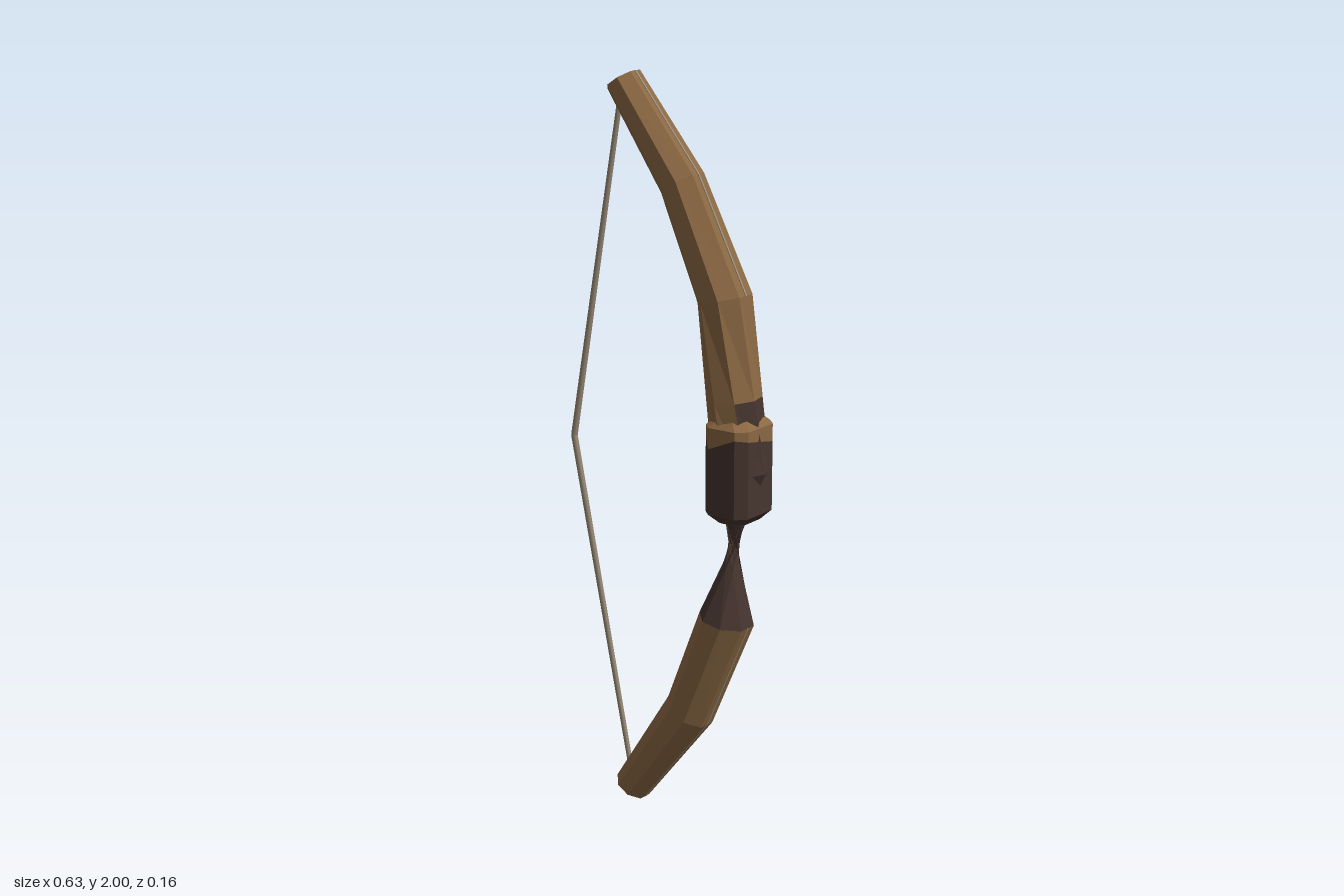
import * as THREE from 'three';

const SIDES = 8;
const STEP = Math.PI / 4;
const mat = (name, color, side = THREE.FrontSide) => {
  const m = new THREE.MeshStandardMaterial({ color, side });
  m.name = name;
  return m;
};

// Octagonal ring between an inner and an outer point, rotated by turn
function octagon([x0, y0], [x1, y1], halfZ, turn = STEP / 2, scale = 1 / Math.cos(STEP / 2)) {
  const pts = [];
  for (let k = 0; k < SIDES; k++) {
    const a = turn + k * STEP;
    const c = Math.cos(a) * scale / 2;
    pts.push(new THREE.Vector3(
      (x0 + x1) / 2 + (x1 - x0) * c,
      (y0 + y1) / 2 + (y1 - y0) * c,
      Math.sin(a) * scale * halfZ));
  }
  return pts;
}

// Joins rings from bottom to top with flat faces; paint picks a material per face
function loft(rings, capBottom, capTop, paint = () => 0) {
  const buckets = [[], []];
  const tri = (m, ...p) => p.forEach(v => buckets[m].push(v.x, v.y, v.z));
  const n = rings[0].length;
  for (let i = 0; i < rings.length - 1; i++) {
    for (let k = 0; k < n; k++) {
      const j = (k + 1) % n, a = rings[i], b = rings[i + 1], m = paint(i, k);
      tri(m, a[k], b[k], b[j]);
      tri(m, a[k], b[j], a[j]);
    }
  }
  const cap = (r, m, flip) => {
    for (let k = 1; k < n - 1; k++) {
      if (flip) tri(m, r[0], r[k + 1], r[k]);
      else tri(m, r[0], r[k], r[k + 1]);
    }
  };
  if (capBottom) cap(rings[0], paint(0, 2), false);
  if (capTop) cap(rings[rings.length - 1], paint(rings.length - 2, 2), true);
  const geo = new THREE.BufferGeometry();
  geo.setAttribute('position', new THREE.Float32BufferAttribute(buckets.flat(), 3));
  const first = buckets[0].length / 3;
  geo.addGroup(0, first, 0);
  if (buckets[1].length) geo.addGroup(first, buckets[1].length / 3, 1);
  geo.computeVertexNormals();
  return geo;
}

export function createModel() {
  const wood = mat('wood', 0x8b6843);
  const dark = mat('dark leather', 0x46352f);
  const darkTwist = mat('dark twisted wood', 0x46352f, THREE.DoubleSide);
  const cord = mat('cord', 0x998b78);
  const bow = new THREE.Group();
  bow.name = 'bow';
  const add = (name, geo, material) => {
    const mesh = new THREE.Mesh(geo, material);
    mesh.name = name;
    bow.add(mesh);
    return mesh;
  };
  const mix = (a, b, t) => a.map((p, k) => p.clone().lerp(b[k], t));

  // Upper limb, running down into the grip, with dark stains on the outer face
  const heart = turn => octagon([0.165, 1.0], [0.315, 1.0], 0.075, turn, 1);
  const upper = [
    heart(0),
    octagon([0.12, 1.43], [0.25, 1.46], 0.07),
    octagon([0.0, 1.70], [0.1, 1.755], 0.058),
    octagon([-0.175, 1.95], [-0.1, 2.0], 0.048),
  ];
  const stainTop = mix(upper[0], upper[1], 0.42);
  const tipStain = mix(upper[2], upper[3], 0.8);
  const upperRings = [upper[0], stainTop, upper[1], upper[2], tipStain, upper[3]];
  add('upperLimb', loft(upperRings, false, true,
    (i, k) => ((i === 0 && (k === 7 || k === 0)) || (i === 4 && k === 6) ? 1 : 0)), [wood, dark]);

  // Lower limb
  const lower = [
    octagon([-0.155, 0.052], [-0.075, 0.0], 0.048),
    octagon([0.025, 0.33], [0.135, 0.265], 0.062),
    octagon([0.13, 0.595], [0.265, 0.57], 0.07),
  ];
  add('lowerLimb', loft(lower, true, false), [wood]);

  // Twisted neck between the lower limb and the grip
  add('twistedNeck', loft([lower[2], heart(-4 * STEP)], false, false), [darkTwist]);

  // Grip block with chamfered corners: dark wrap below a ragged wooden top
  const gripRing = (y, inset, wobble = []) => {
    const w = 0.067 - inset, d = 0.08 - inset, c = 0.026;
    return [[w, -d + c], [w, d - c], [w - c, d], [-w + c, d],
      [-w, d - c], [-w, -d + c], [-w + c, -d], [w - c, -d]]
      .map(([x, z], k) => new THREE.Vector3(0.233 + x, y + (wobble[k] || 0), z));
  };
  const seam = gripRing(1.085, 0, [-0.01, 0.01, 0.015, -0.02, 0.01, -0.01, 0.015, -0.015]);
  add('gripWrap', loft([gripRing(0.866, 0.022), gripRing(0.89, 0), seam], true, false), [dark]);
  add('gripTop', loft([seam, gripRing(1.122, 0), gripRing(1.145, 0.022)], false, true), [wood]);

  // Thin cord inlay along the outer face of each limb
  const inlay = rings => loft(rings.map(r => {
    const out = r[0].clone().add(r[7]).multiplyScalar(0.5);
    return [[0.002, -0.003], [0.002, 0.003], [-0.002, 0.003], [-0.002, -0.003]]
      .map(([x, z]) => new THREE.Vector3(out.x + x, out.y, z));
  }), true, true);
  add('upperInlay', inlay(upper.slice(1)), [cord]);
  add('lowerInlay', inlay(lower), [cord]);

  // Drawn string: two straight halves meeting at the nocking point
  const nock = new THREE.Vector3(-0.312, 1.0, 0);
  const ends = { upperString: [-0.145, 1.95], lowerString: [-0.122, 0.07] };
  for (const [name, [x, y]] of Object.entries(ends)) {
    const dir = new THREE.Vector3(x, y, 0).sub(nock);
    const geo = new THREE.CylinderGeometry(0.007, 0.009, dir.length(), 6);
    const half = add(name, geo, cord);
    half.position.copy(nock).addScaledVector(dir, 0.5);
    half.quaternion.setFromUnitVectors(new THREE.Vector3(0, 1, 0), dir.normalize());
  }
  return bow;
}
